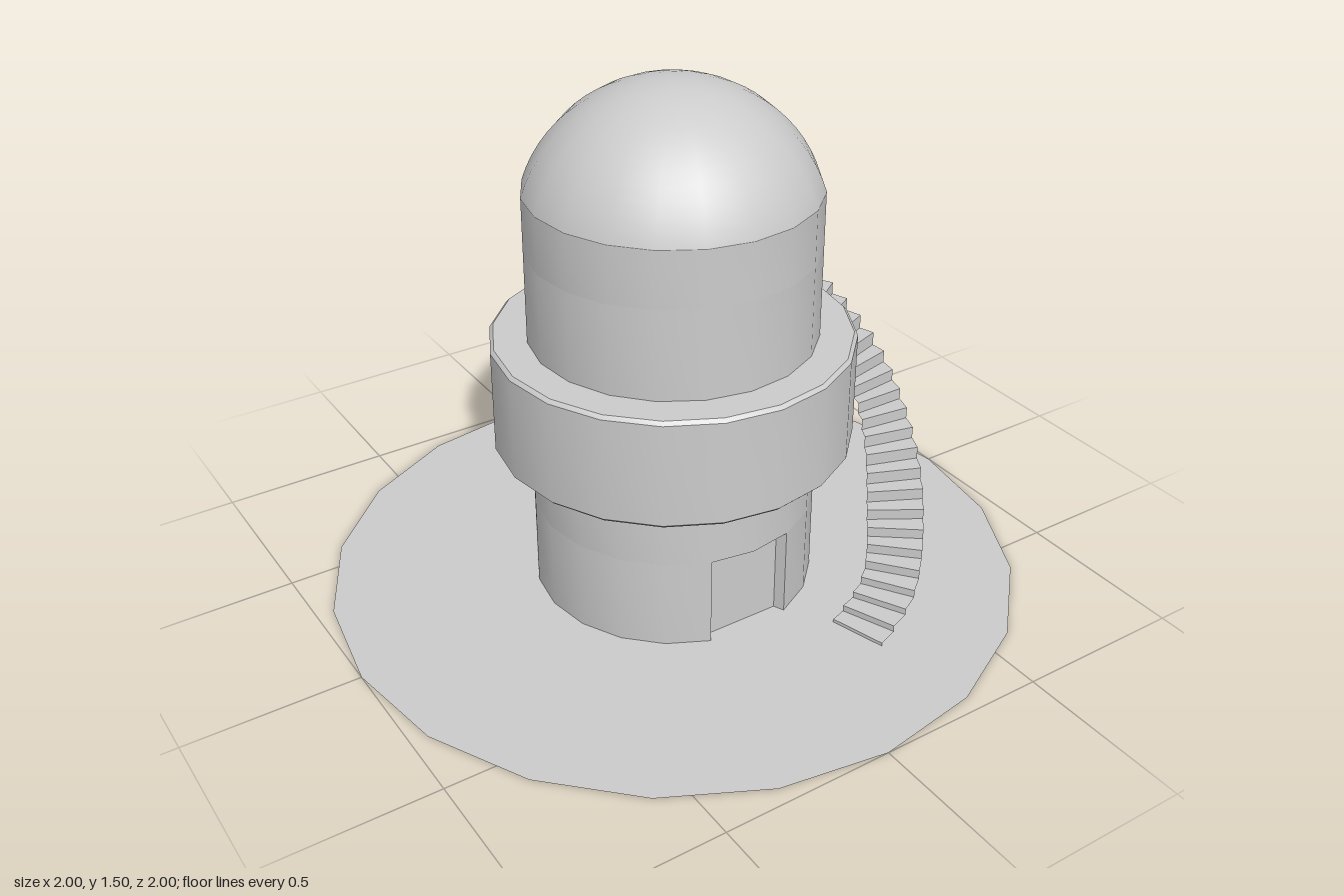
import * as THREE from 'three';
import { toCreasedNormals } from 'three/addons/utils/BufferGeometryUtils.js';

const SIDES = 20;
const R = 0.405;

export function createModel() {
  const model = new THREE.Group();
  model.name = 'tower';
  const material = new THREE.MeshStandardMaterial({ color: 0xcccccc });
  const sheet = new THREE.MeshStandardMaterial({ color: 0xcccccc, side: THREE.DoubleSide });

  function add(parent, name, geometry, mat = material) {
    const mesh = new THREE.Mesh(geometry, mat);
    mesh.name = name;
    parent.add(mesh);
    return mesh;
  }

  function lathe(profile) {
    const points = profile.map(([x, y]) => new THREE.Vector2(x, y));
    return toCreasedNormals(new THREE.LatheGeometry(points, SIDES), 0.4);
  }

  // Storey: a wall with a door recess facing local +z, and a plain wall above it
  function storey(name, y0, doorTop, top, bevel) {
    const group = new THREE.Group();
    group.name = name;
    const plan = [[-0.112, 0.355], [0.112, 0.355]];
    for (let i = 1; i < SIDES; i++) {
      const a = (i / SIDES) * Math.PI * 2;
      plan.push([R * Math.sin(a), R * Math.cos(a)]);
    }
    const shape = new THREE.Shape(plan.map(([x, z]) => new THREE.Vector2(x, -z)));
    const wall = new THREE.ExtrudeGeometry(shape, { depth: doorTop - y0, bevelEnabled: false });
    wall.rotateX(-Math.PI / 2);
    wall.translate(0, y0, 0);
    add(group, 'wallWithDoorway', toCreasedNormals(wall, 0.4));
    add(group, 'upperWall', lathe([
      [0, doorTop], [R, doorTop], [R, top - bevel], [R - bevel, top], [0, top],
    ]));
    model.add(group);
    return group;
  }

  // Ground
  const ground = new THREE.CircleGeometry(1, SIDES);
  ground.rotateX(-Math.PI / 2);
  add(model, 'ground', ground, sheet);

  // Tower body
  storey('lowerStorey', 0, 0.265, 0.455, 0.01);
  add(model, 'balconyRing', lathe([
    [0, 0.455], [0.5, 0.455], [0.51, 0.465], [0.51, 0.765], [0.5, 0.775], [0, 0.775],
  ]));
  const upper = storey('upperStorey', 0.77, 1.035, 1.2, 0.001);
  upper.rotation.y = THREE.MathUtils.degToRad(123);

  // Dome: a spherical cap on the upper wall
  const domeRadius = 0.4255;
  const dome = add(upper, 'dome', new THREE.SphereGeometry(
    domeRadius, SIDES, 14, -Math.PI / 2, Math.PI * 2, 0, Math.acos(0.1305 / domeRadius)));
  dome.position.y = 1.0695;

  // Curved stair: a folded sheet of treads and risers between two edge curves
  const curve = (pts) => new THREE.CatmullRomCurve3(pts.map((p) => new THREE.Vector3(...p)));
  const outer = curve([
    [0.257, 0, 0.663], [0.43, 0.06, 0.59], [0.6, 0.18, 0.42], [0.7, 0.31, 0.25],
    [0.765, 0.48, 0], [0.74, 0.57, -0.1], [0.685, 0.67, -0.235], [0.56, 0.735, -0.335],
    [0.476, 0.765, -0.36],
  ]);
  const inner = curve([
    [0.21, 0, 0.505], [0.355, 0.06, 0.45], [0.465, 0.18, 0.325], [0.567, 0.31, 0.165],
    [0.6, 0.48, 0], [0.583, 0.57, -0.1], [0.535, 0.67, -0.165], [0.5, 0.735, -0.19],
    [0.47, 0.765, -0.2],
  ]);
  const steps = 24;
  const outs = outer.getSpacedPoints(steps);
  const ins = inner.getSpacedPoints(steps);
  const positions = [];
  const quad = (a, b, c, d) => [a, b, c, a, c, d].forEach((p) => positions.push(p.x, p.y, p.z));
  const at = (p, y) => new THREE.Vector3(p.x, y, p.z);
  let below = 0;
  for (let i = 0; i < steps; i++) {
    const y = outs[i].y + 0.01;
    quad(at(ins[i], below), at(outs[i], below), at(outs[i], y), at(ins[i], y));
    quad(at(ins[i], y), at(outs[i], y), at(outs[i + 1], y), at(ins[i + 1], y));
    below = y;
  }
  // Landing that meets the balcony ring
  const top = 0.772;
  const [a, b] = [ins[steps], outs[steps]];
  quad(at(a, below), at(b, below), at(b, top), at(a, top));
  quad(at(a, top), at(b, top),
    new THREE.Vector3(0.35, top, -0.36), new THREE.Vector3(0.45, top, -0.2));
  const stair = new THREE.BufferGeometry();
  stair.setAttribute('position', new THREE.Float32BufferAttribute(positions, 3));
  stair.computeVertexNormals();
  add(model, 'curvedStair', stair, sheet);

  return model;
}
